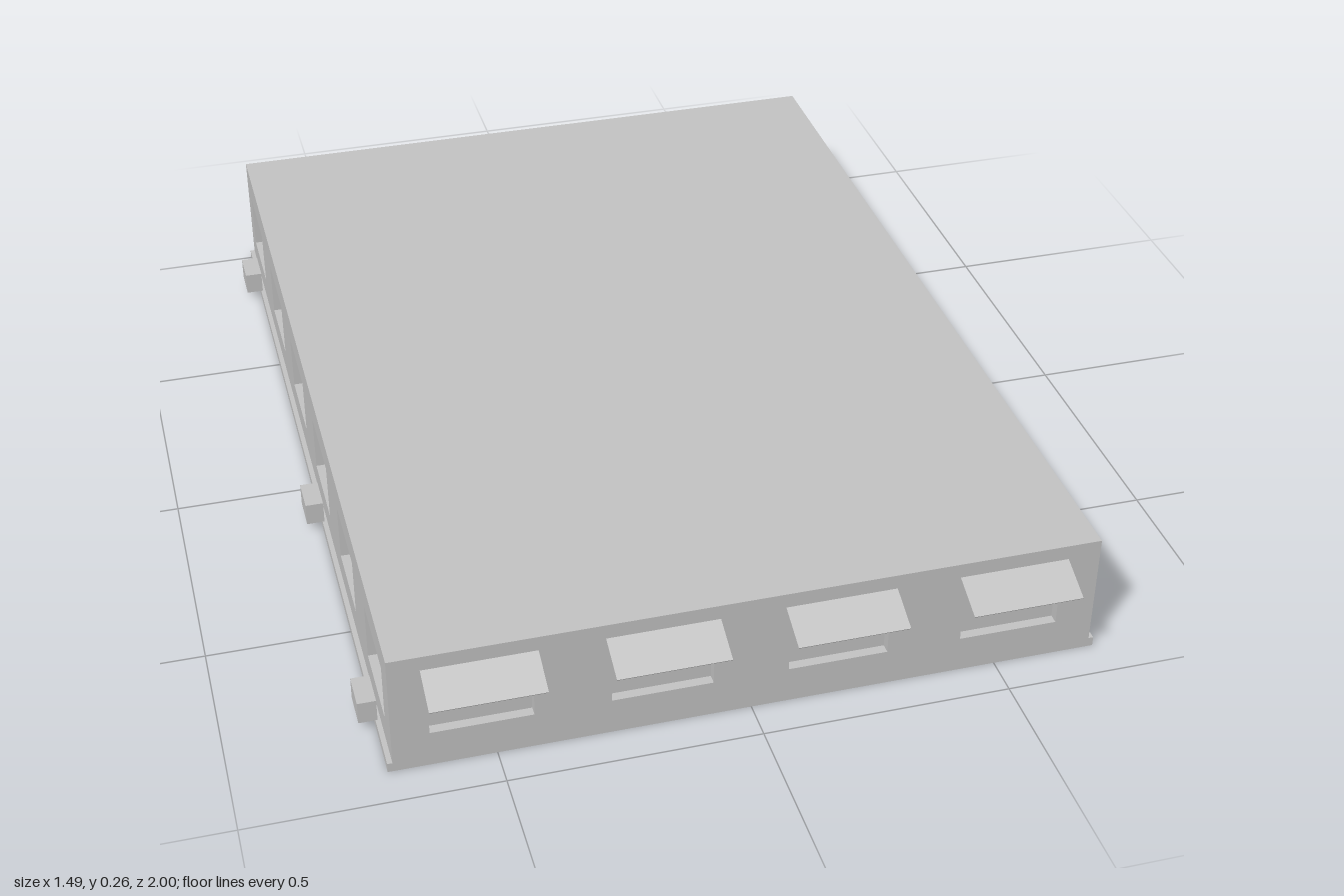
import * as THREE from 'three';

const W = 0.7, H = 0.264, Z0 = -1, Z1 = 0.92, DEPTH = 0.02;
const ZC = (Z0 + Z1) / 2, LEN = Z1 - Z0;

const grey = new THREE.MeshStandardMaterial({ color: 0xc4c4c4 });
grey.name = 'light grey';

function box(parent, name, sx, sy, sz, x, y, z) {
  const mesh = new THREE.Mesh(new THREE.BoxGeometry(sx, sy, sz), grey);
  mesh.name = name;
  mesh.position.set(x, y, z);
  parent.add(mesh);
  return mesh;
}

// Wall panel centred on its own x, outer face towards +z, with window openings
function wall(name, width, centres, windowWidth) {
  const h = width / 2;
  const shape = new THREE.Shape();
  shape.moveTo(-h, 0).lineTo(h, 0).lineTo(h, H).lineTo(-h, H).closePath();
  for (const c of centres) {
    const a = c - windowWidth / 2, b = c + windowWidth / 2;
    const hole = new THREE.Path();
    hole.moveTo(a, 0.078).lineTo(a, 0.2).lineTo(b, 0.2).lineTo(b, 0.078).closePath();
    shape.holes.push(hole);
  }
  const geometry = new THREE.ExtrudeGeometry(shape, { depth: DEPTH, bevelEnabled: false });
  const mesh = new THREE.Mesh(geometry, grey);
  mesh.name = name;
  return mesh;
}

export function createModel() {
  const group = new THREE.Group();
  group.name = 'building';

  // Solid core: its faces form the recessed window panes
  box(group, 'core', 2 * (W - DEPTH), H, LEN - 2 * DEPTH, 0, H / 2, ZC);

  // Front and back walls, four windows each
  const endWindows = [-0.527, -0.177, 0.173, 0.523];
  const front = wall('frontWall', 2 * W, endWindows, 0.2);
  front.position.z = Z1 - DEPTH;
  const back = wall('backWall', 2 * W, endWindows, 0.2);
  back.rotation.y = Math.PI;
  back.position.z = Z0 + DEPTH;
  group.add(front, back);

  // Side walls, six windows each, with a low ledge along the foot
  const sideWindows = [-2.5, -1.5, -0.5, 0.5, 1.5, 2.5].map((i) => i * 0.322);
  for (const side of [1, -1]) {
    const label = side > 0 ? 'left' : 'right';
    const panel = wall(label + 'Wall', LEN - 2 * DEPTH, sideWindows, 0.184);
    panel.rotation.y = side * Math.PI / 2;
    panel.position.set(side * (W - DEPTH), 0, ZC);
    group.add(panel);
    box(group, label + 'Ledge', 0.01, 0.02, LEN, side * (W + 0.005), 0.01, ZC);

    // Outdoor units standing beside the wall
    for (const z of [-0.84, side > 0 ? -0.2 : 0.115, 0.758]) {
      box(group, label + 'Unit', 0.037, 0.048, 0.076, side * 0.7245, 0.045, z);
    }
  }

  // Sloping awnings over the front windows
  const drop = 0.034, reach = 0.08;
  for (const x of endWindows) {
    const awning = box(group, 'awning', 0.222, 0.002, Math.hypot(drop, reach),
      x, 0.215, Z1 + reach / 2);
    awning.rotation.x = Math.atan2(drop, reach);
  }
  return group;
}
